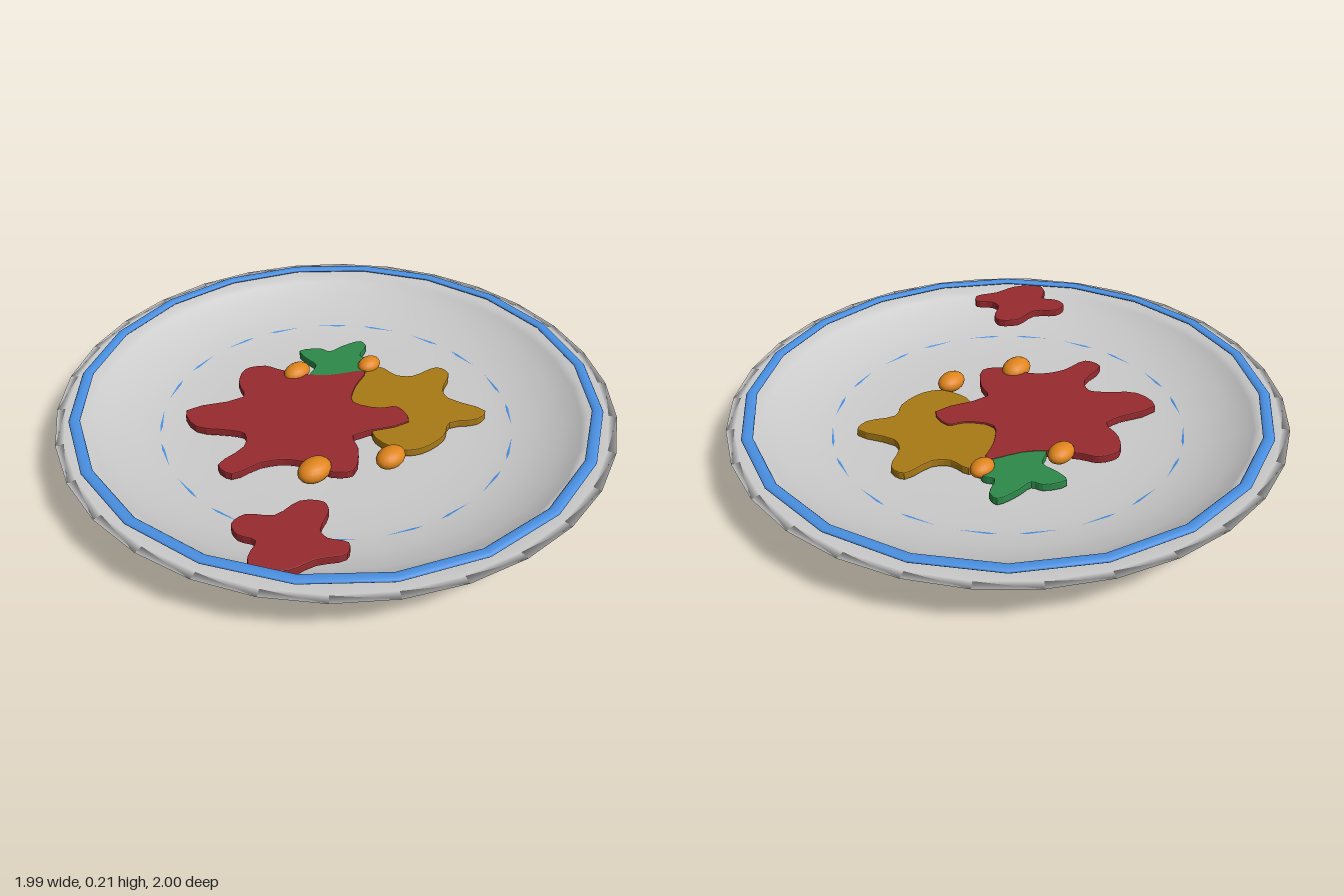
import * as THREE from 'three';

const mat = (color) => new THREE.MeshStandardMaterial({ color });

function add(group, name, geometry, material, y = 0) {
  const mesh = new THREE.Mesh(geometry, material);
  mesh.name = name;
  mesh.position.y = y;
  group.add(mesh);
  return mesh;
}

// Horizontal ring with 20 straight segments; height is the half thickness
function ring(radius, tube, height) {
  return new THREE.TorusGeometry(radius, tube, 10, 20).rotateX(Math.PI / 2).scale(1, height / tube, 1);
}

// Thin leaf slab from a rounded outline: x, z pairs in hundredths; top lies at y = 0
function leaf(outline, thickness) {
  const points = [];
  for (let i = 0; i < outline.length; i += 2) {
    points.push(new THREE.Vector3(outline[i] / 100, outline[i + 1] / 100, 0));
  }
  const curve = new THREE.CatmullRomCurve3(points, true, 'centripetal');
  const shape = new THREE.Shape(curve.getPoints(points.length * 3).slice(0, -1).map((p) => new THREE.Vector2(p.x, p.y)));
  const bevel = 0.004;
  return new THREE.ExtrudeGeometry(shape, {
    depth: thickness - 2 * bevel, bevelThickness: bevel, bevelSize: bevel, bevelOffset: -bevel, bevelSegments: 2,
  }).rotateX(Math.PI / 2).translate(0, -bevel, 0);
}

export function createModel() {
  const model = new THREE.Group();
  model.name = 'leafPlate';
  const blue = mat(0x4a90e2), red = mat(0x982a2e), orange = mat(0xe0851c);
  const glaze = mat(0xb8c4d0);

  // Dish: underside, rim, then the hollow
  const profile = [
    [0, 0.04], [0.6, 0.042], [0.84, 0.105], [0.93, 0.157], [1, 0.185],
    [0.97, 0.188], [0.9, 0.185], [0.88, 0.168], [0.82, 0.135], [0.72, 0.1],
    [0.6, 0.08], [0.45, 0.074], [0, 0.07],
  ].map(([r, y]) => new THREE.Vector2(r, y));
  add(model, 'dish', new THREE.LatheGeometry(profile, 30), mat(0xcccccc));

  // Foot ring and its base disc
  add(model, 'footRing', ring(0.578, 0.024, 0.0225), glaze, 0.0225);
  add(model, 'footBase', new THREE.CylinderGeometry(0.57, 0.57, 0.025, 20), glaze, 0.03);

  // Painted bands: one on the rim, one barely breaking through the floor
  add(model, 'rimBand', ring(0.93, 0.02, 0.008), blue, 0.204);
  add(model, 'innerBand', ring(0.65, 0.008, 0.004), blue, 0.0838);

  // Leaves
  add(model, 'largeRedLeaf', leaf([
    -4, -45, 3, -41, 5, -35, 10, -25, 16, -18, 27, -10, 17, -6, 9, 0, 13, 10, 18, 14, 14, 23,
    -6, 14, -10, 20, -20, 27, -26, 22, -28, 13, -32, 6, -39, 1, -50, -2, -50, -9, -37, -10,
    -32, -15, -34, -20, -41, -31, -37, -41, -17, -32, -12, -40,
  ], 0.03), red, 0.115);
  add(model, 'yellowLeaf', leaf([
    10, -6, 27, -10, 34, -8, 34, 0, 38, 5, 49, 8, 49, 14, 39, 19, 36, 24, 39, 39, 33, 40,
    24, 34, 17, 37, 6, 36, 0, 31, -1, 20, 3, 14, 9, 3,
  ], 0.03), mat(0xa97a16), 0.108);
  add(model, 'greenLeaf', leaf([
    20, -39, 27, -34, 28, -30, 34, -29, 42, -26, 41, -22, 34, -19, 35, -15, 32, -11, 26, -10,
    17, -15, 10, -18, 10, -24, 17, -27, 18, -34,
  ], 0.03), mat(0x2d8b4a), 0.112);
  add(model, 'smallRedLeaf', leaf([
    -72, 23, -66, 23, -60, 30, -50, 31, -45, 37, -47, 41, -55, 45, -56, 49, -53, 55, -57, 58,
    -65, 53, -74, 50, -81, 42, -78, 37, -72, 34, -74, 28,
  ], 0.03), red, 0.198);

  // Berries: x, z, half width, half depth
  const berries = [
    [0.085, -0.29, 0.058, 0.042], [0.315, -0.12, 0.05, 0.038],
    [-0.29, 0.17, 0.067, 0.05], [-0.06, 0.315, 0.06, 0.045],
  ];
  for (const [x, z, w, d] of berries) {
    const berry = add(model, 'berry', new THREE.SphereGeometry(1, 16, 12), orange, 0.113);
    berry.position.set(x, 0.113, z);
    berry.scale.set(w, d * 0.8, d);
  }
  return model;
}
